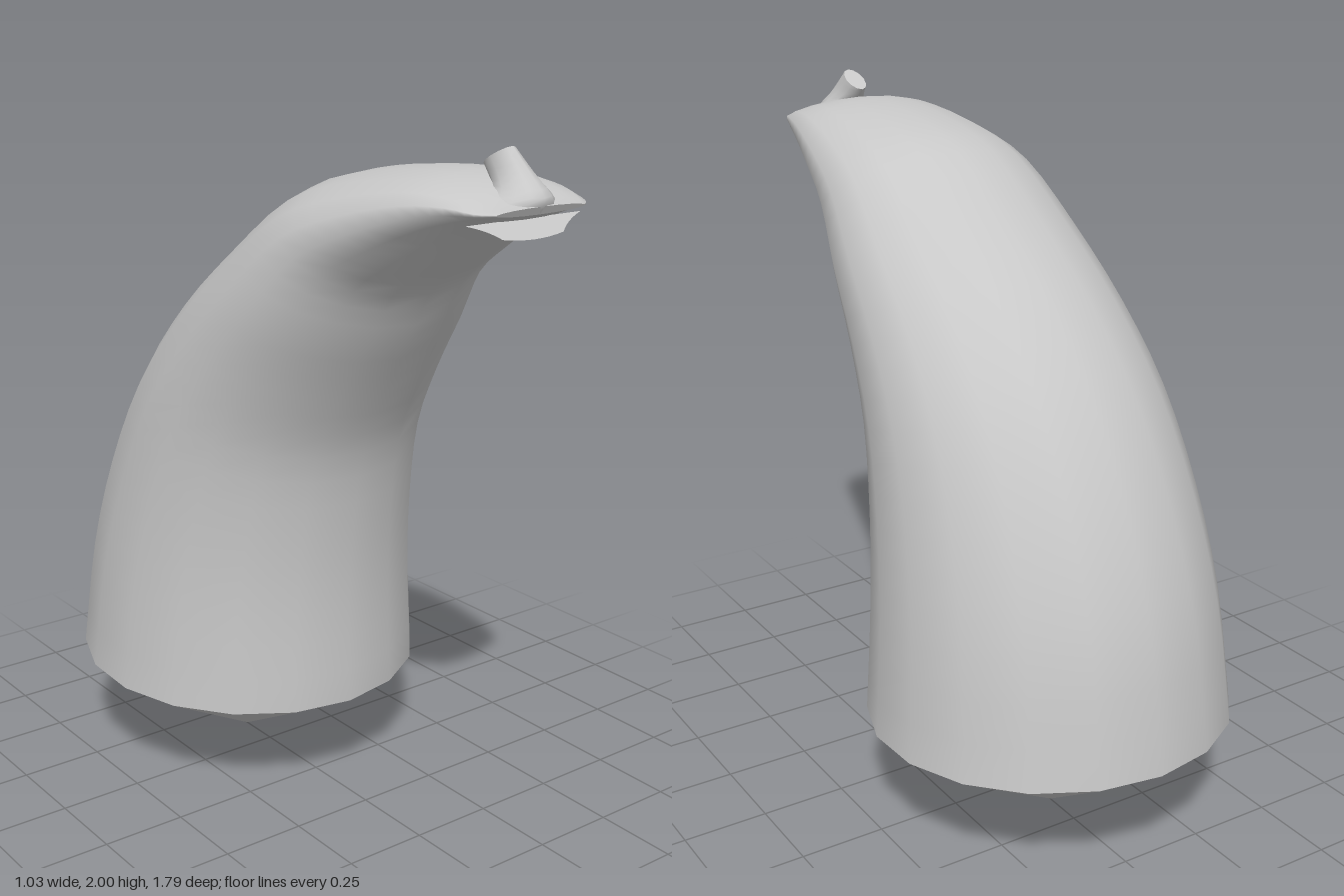
import * as THREE from 'three';

const SIDES = 18;

// Loft of elliptical rings; each row is [frontZ, frontY, backZ, backY, halfWidth].
function loft(rows, steps, { sides = SIDES, closeEnd = false, flat = false } = {}) {
  const front = new THREE.CatmullRomCurve3(rows.map(r => new THREE.Vector3(r[4], r[1], r[0])));
  const back = new THREE.CatmullRomCurve3(rows.map(r => new THREE.Vector3(r[4], r[3], r[2])));
  front.curveType = back.curveType = 'catmullrom';
  const pos = [], idx = [];
  for (let i = 0; i <= steps; i++) {
    const f = front.getPoint(i / steps), b = back.getPoint(i / steps);
    for (let j = 0; j < sides; j++) {
      const a = (j / sides) * Math.PI * 2, k = (1 + Math.cos(a)) / 2;
      pos.push(f.x * Math.sin(a), b.y + (f.y - b.y) * k, b.z + (f.z - b.z) * k);
    }
  }
  for (let i = 0; i < steps; i++) {
    for (let j = 0; j < sides; j++) {
      const n = (j + 1) % sides, p = i * sides, q = p + sides;
      idx.push(p + j, p + n, q + n, p + j, q + n, q + j);
    }
  }
  if (closeEnd) {
    // separate copy of the last ring keeps the cap edge sharp
    const ring = pos.slice(-sides * 3), base = pos.length / 3;
    pos.push(...ring);
    for (let j = 1; j < sides - 1; j++) idx.push(base, base + j, base + j + 1);
  }
  let geo = new THREE.BufferGeometry();
  geo.setAttribute('position', new THREE.Float32BufferAttribute(pos, 3));
  geo.setIndex(idx);
  if (flat) geo = geo.toNonIndexed();
  geo.computeVertexNormals();
  return geo;
}

export function createModel() {
  const group = new THREE.Group();
  const grey = new THREE.MeshStandardMaterial({ color: 0xc8c8c8, side: THREE.DoubleSide });
  grey.name = 'pale grey';
  const add = (name, geo) => {
    const mesh = new THREE.Mesh(geo, grey);
    mesh.name = name;
    group.add(mesh);
  };

  // Curved body, wide at the base and leaning forward to a flattened tip
  add('hornBody', loft([
    [0.17, 0.30, -0.89, 0.35, 0.525],
    [0.165, 0.60, -0.83, 0.70, 0.495],
    [0.18, 0.85, -0.72, 1.00, 0.465],
    [0.22, 1.09, -0.56, 1.27, 0.435],
    [0.31, 1.28, -0.36, 1.49, 0.405],
    [0.41, 1.45, -0.12, 1.68, 0.375],
    [0.49, 1.59, 0.12, 1.845, 0.335],
    [0.60, 1.68, 0.35, 1.91, 0.295],
    [0.71, 1.76, 0.60, 1.935, 0.25],
    [0.79, 1.81, 0.76, 1.915, 0.215],
    [0.85, 1.84, 0.85, 1.88, 0.185],
    [0.88, 1.85, 0.89, 1.87, 0.145],
  ], 33, { closeEnd: true }));

  // Faceted point under the base
  add('basePoint', loft([
    [-0.38, 0, -0.38, 0, 0],
    [0.17, 0.30, -0.89, 0.35, 0.525],
  ], 1, { flat: true }));

  // Small blunt spike curling back from the tip
  add('tipSpike', loft([
    [0.88, 1.85, 0.74, 1.88, 0.11],
    [0.895, 1.89, 0.74, 1.905, 0.068],
    [0.84, 1.945, 0.715, 1.925, 0.042],
    [0.78, 2.00, 0.69, 1.95, 0.03],
  ], 9, { sides: 12, closeEnd: true }));

  // Thin crescent lip below the tip
  const lip = new THREE.Shape();
  lip.moveTo(-0.19, 0.06);
  lip.quadraticCurveTo(-0.13, 0.04, -0.10, 0.01);
  lip.quadraticCurveTo(0, -0.01, 0.10, 0.01);
  lip.quadraticCurveTo(0.13, 0.04, 0.19, 0.06);
  lip.closePath();
  const lipGeo = new THREE.ShapeGeometry(lip, 8);
  lipGeo.rotateX(-0.75);
  lipGeo.translate(0, 1.79, 0.87);
  lipGeo.scale(1, 1, 1);
  add('tipLip', lipGeo);

  return group;
}
